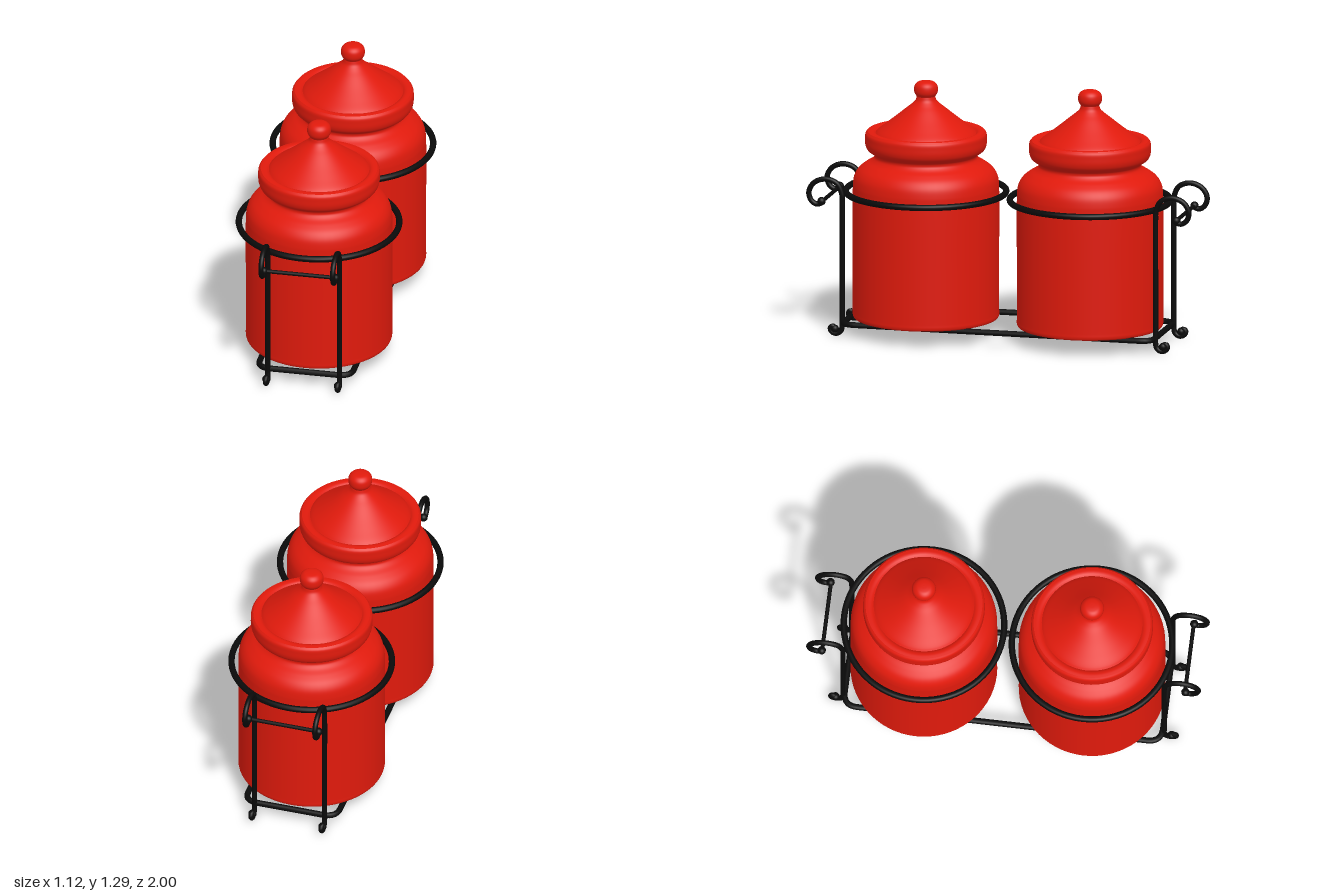
import * as THREE from 'three';

const red = new THREE.MeshStandardMaterial({ color: 0xe01a0c });
const black = new THREE.MeshStandardMaterial({ color: 0x0a0a0a });

const ANGLE = 0.337;    // the rack stands diagonally
const JAR_Z = 0.424;    // jar distance from the middle
const LEG_X = 0.183, LEG_Z = 0.81;

function add(parent, name, geometry, material) {
  const mesh = new THREE.Mesh(geometry, material);
  mesh.name = name;
  parent.add(mesh);
  return mesh;
}

// smooth surface of revolution through [radius, height] points
function turned(points, samples) {
  const curve = new THREE.CatmullRomCurve3(points.map(([r, y]) => new THREE.Vector3(r, y, 0)));
  const profile = curve.getPoints(samples).map(p => new THREE.Vector2(Math.max(p.x, 0), p.y));
  return new THREE.LatheGeometry(profile, 64);
}

function createJar() {
  const jar = new THREE.Group();
  jar.name = 'jar';
  add(jar, 'jarBottom', new THREE.CircleGeometry(0.354, 64).rotateX(Math.PI / 2), red).position.y = 0.085;
  add(jar, 'jarBody', turned([
    [0.354, 0.085], [0.363, 0.089], [0.367, 0.1], [0.367, 0.12], [0.367, 0.4], [0.367, 0.74],
    [0.366, 0.77], [0.358, 0.81], [0.338, 0.842], [0.305, 0.868], [0.272, 0.888], [0.258, 0.905],
    [0.26, 0.92], [0.275, 0.932],
  ], 70), red);
  // thick rounded lid rim
  add(jar, 'lidRim', turned([
    [0.25, 0.925], [0.275, 0.932], [0.295, 0.947], [0.304, 0.97], [0.305, 1.0], [0.303, 1.025], [0.293, 1.038],
  ], 30), red);
  add(jar, 'lidLedge', turned([
    [0.293, 1.038], [0.275, 1.04], [0.262, 1.037], [0.252, 1.03],
  ], 10), red);
  add(jar, 'lidCone', turned([
    [0.252, 1.03], [0.24, 1.042], [0.2, 1.073], [0.15, 1.112], [0.1, 1.153], [0.07, 1.177],
    [0.052, 1.196], [0.046, 1.215],
  ], 30), red);
  add(jar, 'lidKnob', turned([
    [0.044, 1.205], [0.046, 1.215], [0.057, 1.232], [0.06, 1.25], [0.056, 1.272], [0.04, 1.288],
    [0.02, 1.293], [0, 1.294],
  ], 30), red);
  return jar;
}

// leg with a curled foot below and a scroll on top, in the z-y plane
function createLeg() {
  const leg = new THREE.Group();
  leg.name = 'leg';
  const path = new THREE.CatmullRomCurve3([
    [0.848, 0.045], [0.862, 0.052], [0.872, 0.038], [0.86, 0.02], [0.838, 0.015], [0.817, 0.029],
    [0.81, 0.055], [0.81, 0.085], [0.81, 0.4], [0.81, 0.69], [0.812, 0.73], [0.836, 0.782],
    [0.895, 0.803], [0.955, 0.782], [0.982, 0.735], [0.971, 0.692], [0.943, 0.673],
    [0.918, 0.68], [0.914, 0.695],
  ].map(([z, y]) => new THREE.Vector3(0, y, z)));
  add(leg, 'legRod', new THREE.TubeGeometry(path, 180, 0.0135, 10), black);
  // rounded ends of foot and scroll
  add(leg, 'footEnd', new THREE.SphereGeometry(0.021, 16, 12), black).position.set(0, 0.038, 0.848);
  add(leg, 'scrollEnd', new THREE.SphereGeometry(0.021, 16, 12), black).position.set(0, 0.688, 0.917);
  return leg;
}

// closed rounded rectangle of rod under the jars
function createBaseFrame() {
  const w = 0.24, d = 0.802, r = 0.07, y = 0.075;
  const corners = [[1, 1], [-1, 1], [-1, -1], [1, -1]];
  const path = new THREE.CurvePath();
  const bends = corners.map(([sx, sz], i) => {
    const onLong = new THREE.Vector3(sx * w, y, sz * (d - r));
    const onShort = new THREE.Vector3(sx * (w - r), y, sz * d);
    const corner = new THREE.Vector3(sx * w, y, sz * d);
    return i % 2 ? [onShort, corner, onLong] : [onLong, corner, onShort];
  });
  bends.forEach((bend, i) => {
    path.add(new THREE.QuadraticBezierCurve3(...bend));
    path.add(new THREE.LineCurve3(bend[2], bends[(i + 1) % 4][0]));
  });
  return new THREE.TubeGeometry(path, 260, 0.015, 10, true);
}

export function createModel() {
  const model = new THREE.Group();
  model.name = 'jarsInRack';
  const rack = new THREE.Group();
  rack.name = 'rack';
  rack.rotation.y = ANGLE;
  model.add(rack);

  add(rack, 'baseFrame', createBaseFrame(), black);

  // both ends are alike, turned half a circle
  for (const turn of [0, Math.PI]) {
    const end = new THREE.Group();
    end.name = 'rackEnd';
    end.rotation.y = turn;
    rack.add(end);

    const jar = createJar();
    jar.position.z = JAR_Z;
    end.add(jar);

    const ring = add(end, 'holderRing', new THREE.TorusGeometry(0.402, 0.016, 12, 72).rotateX(Math.PI / 2), black);
    ring.position.set(0, 0.73, JAR_Z);

    for (const side of [-1, 1]) {
      const leg = createLeg();
      leg.position.x = side * LEG_X;
      end.add(leg);
    }

    const handle = add(end, 'handleBar', new THREE.CylinderGeometry(0.01, 0.01, LEG_X * 2, 12).rotateZ(Math.PI / 2), black);
    handle.position.set(0, 0.687, LEG_Z + 0.105);
  }
  return model;
}
